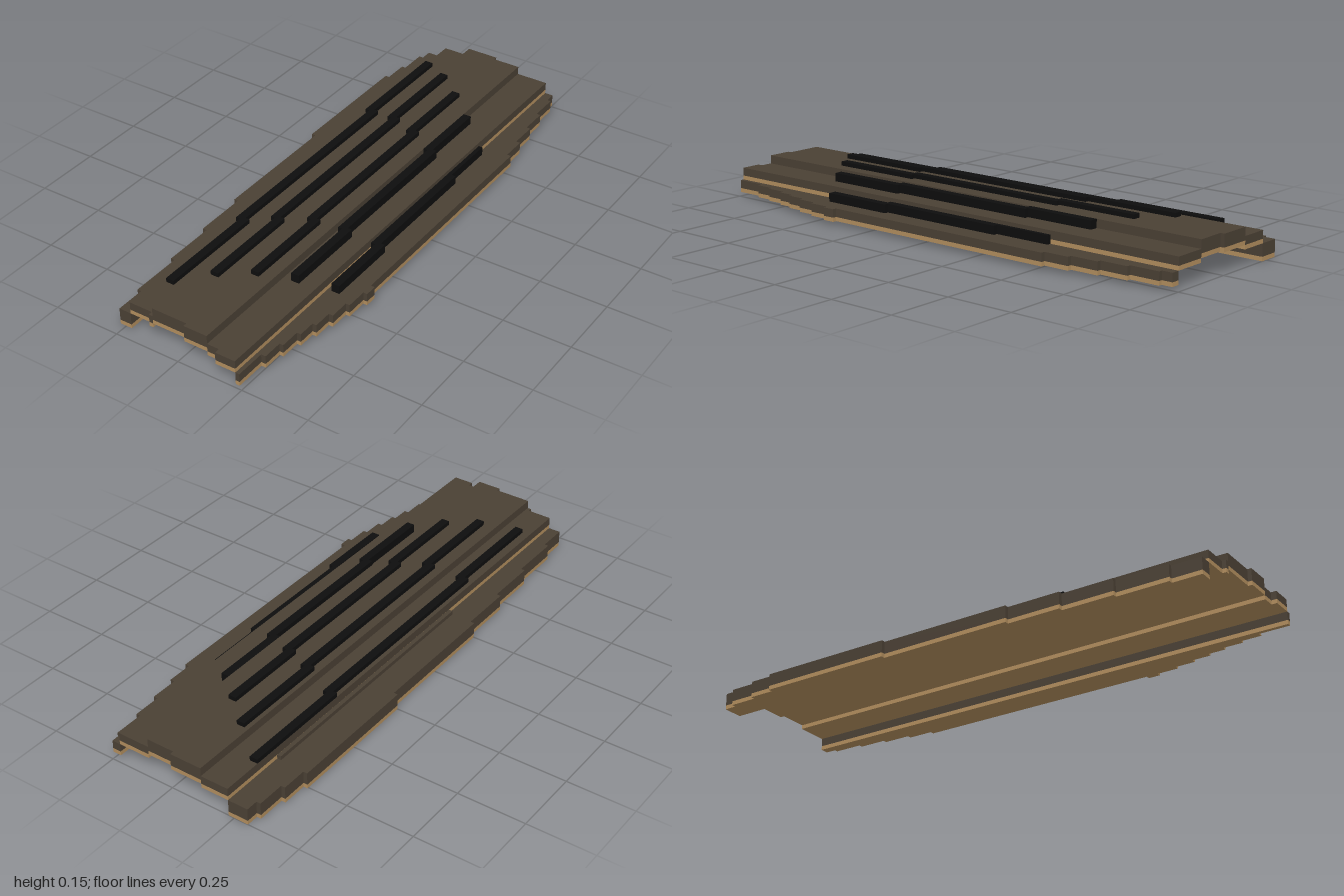
import * as THREE from 'three';

const material = (name, color) => {
  const m = new THREE.MeshStandardMaterial({ color });
  m.name = name;
  return m;
};

// Turns bands [value, end] into a stair-stepped list of [position, value] points.
function steps(start, bands) {
  const points = [];
  let from = start;
  for (const [value, end] of bands) {
    points.push([from, value], [end, value]);
    from = end;
  }
  return points;
}

// Plan outlines of the side strips: [outer x, end z]
const RIGHT_EDGE = steps(-1, [
  [-0.304, -0.955], [-0.32, -0.85], [-0.335, -0.755], [-0.35, -0.25], [-0.335, 0.25],
  [-0.32, 0.45], [-0.304, 0.645], [-0.289, 0.84], [-0.274, 0.95],
]);
const LEFT_EDGE = steps(-0.985, [
  [0.26, -0.945], [0.274, -0.835], [0.289, -0.73], [0.304, -0.625], [0.32, -0.53],
  [0.335, 0.4], [0.35, 0.445], [0.335, 0.525], [0.32, 0.6], [0.304, 0.67],
  [0.289, 0.735], [0.274, 0.81], [0.26, 0.885], [0.243, 1],
]);

export function createModel() {
  const model = new THREE.Group();
  model.name = 'steppedHullPanel';
  const brown = material('dark brown', 0x4a4034);
  const tan = material('tan', 0xb18d5d);
  const black = material('black', 0x0d0d0d);

  // Extrudes a plan outline of [x, z] points from y0 to y1.
  function slab(name, outline, y0, y1, mat) {
    const shape = new THREE.Shape(outline.map(([x, z]) => new THREE.Vector2(x, -z)));
    const geo = new THREE.ExtrudeGeometry(shape, { depth: y1 - y0, bevelEnabled: false });
    geo.rotateX(-Math.PI / 2).translate(0, y0, 0);
    const mesh = new THREE.Mesh(geo, mat);
    mesh.name = name;
    model.add(mesh);
  }

  function block(name, x0, x1, y0, y1, z0, z1, mat) {
    const mesh = new THREE.Mesh(new THREE.BoxGeometry(x1 - x0, y1 - y0, z1 - z0), mat);
    mesh.position.set((x0 + x1) / 2, (y0 + y1) / 2, (z0 + z1) / 2);
    mesh.name = name;
    model.add(mesh);
  }

  // Each tier is a dark shell over a tan underside one unit thick.
  function tier(name, outline, y0, y1) {
    slab(name + 'Lining', outline, y0, y0 + 0.0152, tan);
    slab(name + 'Shell', outline, y0 + 0.0152, y1, brown);
  }

  // Side strips with stepped outer edges
  const strip = (edge, inner) => [
    [inner, edge[0][0]],
    ...edge.map(([z, x]) => [x, z]),
    [inner, edge[edge.length - 1][0]],
  ];
  tier('rightStrip', strip(RIGHT_EDGE, -0.228), 0, 0.061);
  tier('leftStrip', strip(LEFT_EDGE, 0.228), 0.0152, 0.061);
  block('rightLedge', -0.243, -0.228, 0.061, 0.076, -0.75, 0.25, brown);

  // Raised tiers, whose ends are stepped across the width
  const deck = (x0, x1, backBands, frontBands) => [
    ...steps(x0, backBands),
    ...steps(x0, frontBands).reverse(),
  ];
  tier('rightDeck', deck(-0.228, -0.122, [[-1, -0.122]],
    [[0.95, -0.137], [0.965, -0.122]]), 0.061, 0.106);
  tier('centreDeck', deck(-0.122, 0.106, [[-1, 0], [-0.985, 0.106]],
    [[0.965, 0.015], [0.98, 0.106]]), 0.076, 0.137);
  tier('leftDeck', deck(0.106, 0.228, [[-0.985, 0.228]],
    [[0.98, 0.152], [1, 0.228]]), 0.061, 0.106);

  // Black ridges: three overlapping bars, each shifted one unit sideways
  const ridges = [
    { x: -0.228, y: 0.106, h: 0.0155, z: [-0.85, -0.43, 0.395, 0.8] },
    { x: -0.106, y: 0.137, h: 0.0155, z: [-0.76, -0.39, 0.36, 0.72] },
    { x: 0, y: 0.137, h: 0.0155, z: [-0.67, -0.35, 0.3, 0.645] },
    { x: 0.106, y: 0.106, h: 0.031, z: [-0.575, -0.3, 0.27, 0.57] },
    { x: 0.213, y: 0.061, h: 0.031, z: [-0.48, -0.255, 0.23, 0.495] },
  ];
  for (const { x, y, h, z } of ridges) {
    for (let i = 0; i < 3; i++) {
      const x0 = x + i * 0.0152;
      // The outermost ridge starts flush with the deck wall
      const inner = x > 0.2 ? Math.max(x0, 0.2282) : x0;
      block('ridgeBar', inner, x0 + 0.0305, y, y + h,
        z[i] - (i ? 0.01 : 0), z[i + 1] + (i < 2 ? 0.005 : 0), black);
    }
  }
  return model;
}
